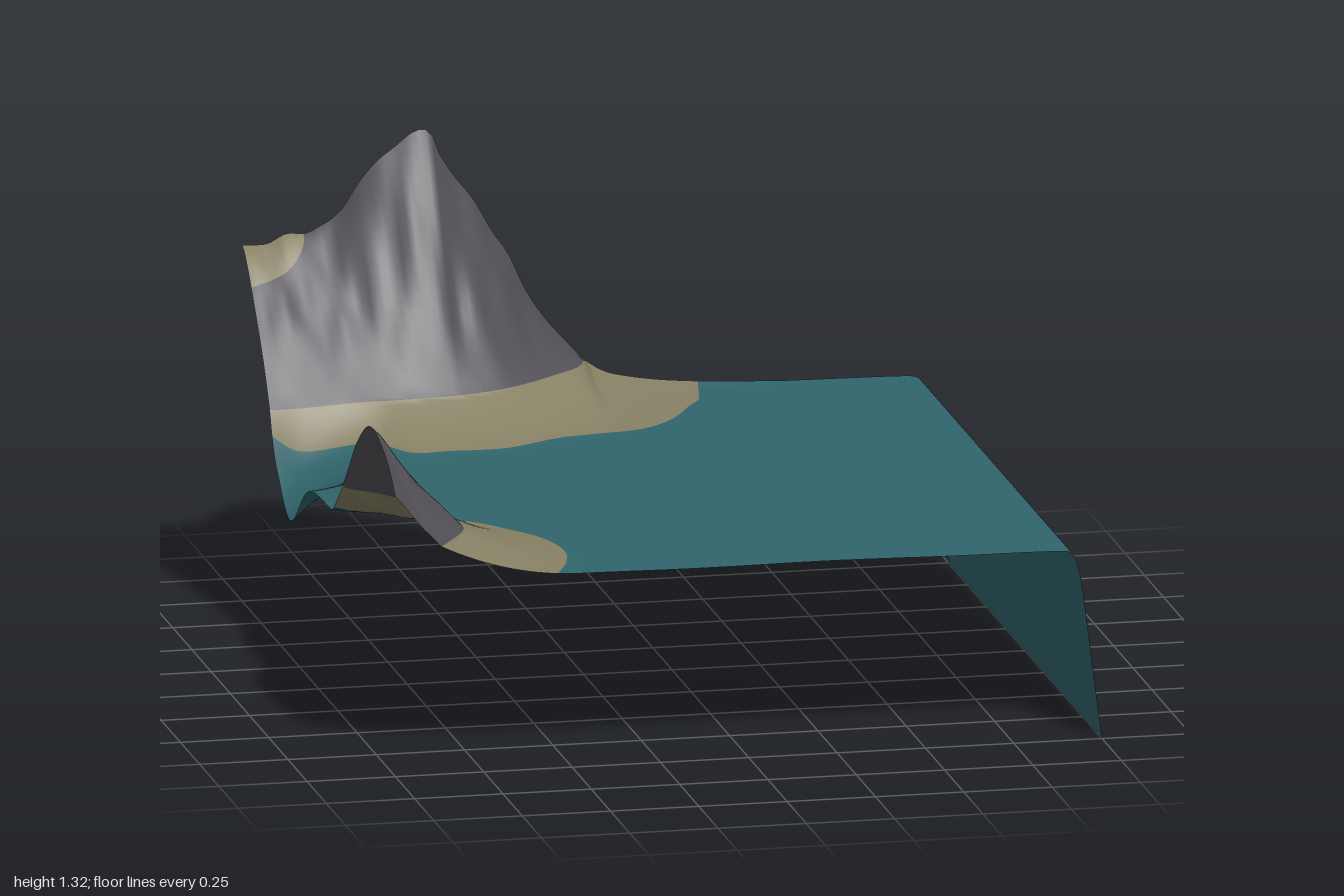
import * as THREE from 'three';

const clamp = (v) => Math.min(1, Math.max(0, v));

// Smooth curve through [position, value] pairs
function curve(points) {
  const slope = (i) => {
    const a = points[Math.max(0, i - 1)], b = points[Math.min(points.length - 1, i + 1)];
    return (b[1] - a[1]) / (b[0] - a[0]);
  };
  return (p) => {
    let i = 0;
    while (i < points.length - 2 && p > points[i + 1][0]) i++;
    const [p0, v0] = points[i], [p1, v1] = points[i + 1];
    const d = p1 - p0, t = clamp((p - p0) / d), t2 = t * t, t3 = t2 * t;
    return v0 * (2 * t3 - 3 * t2 + 1) + v1 * (3 * t2 - 2 * t3)
      + d * (slope(i) * (t3 - 2 * t2 + t) + slope(i + 1) * (t3 - t2));
  };
}

// Sea level, rolling over into the drop on one side
const sea = curve([[-1, 0.552], [-0.7, 0.553], [0, 0.549], [0.6, 0.545], [0.88, 0.541], [0.91, 0.536],
  [0.925, 0.52], [0.94, 0.46], [0.96, 0.315], [0.98, 0.155], [1, 0]]);

// Back mountain: crest height, rock edge and sand edge (z) along x
const backCrest = curve([[-1, 1.02], [-0.9, 1.025], [-0.8, 1.055], [-0.72, 1.1], [-0.66, 1.19], [-0.6, 1.25],
  [-0.55, 1.3], [-0.51, 1.312], [-0.465, 1.3], [-0.44, 1.24], [-0.37, 1.15], [-0.3, 1.03], [-0.25, 0.95],
  [-0.2, 0.85], [-0.1, 0.71], [0, 0.615], [0.1, 0.583], [0.28, 0.56], [0.5, 0.548], [1, 0.54]]);
const backRock = curve([[-1, -0.64], [-0.9, -0.62], [-0.77, -0.61], [-0.6, -0.62], [-0.45, -0.64],
  [-0.29, -0.7], [-0.13, -0.82], [-0.07, -0.88], [-0.03, -0.98], [0.05, -1.2]]);
const backSand = curve([[-1, -0.61], [-0.93, -0.55], [-0.77, -0.5], [-0.71, -0.47], [-0.65, -0.39], [-0.55, -0.395],
  [-0.38, -0.4], [-0.21, -0.48], [0.03, -0.54], [0.14, -0.64], [0.22, -0.78], [0.27, -0.87], [0.29, -1.02], [0.4, -1.3]]);

// Front hill: crest height, rock edge and sand edge (x) along z
const frontCrest = curve([[0.1, 0.545], [0.17, 0.555], [0.2, 0.57], [0.3, 0.65], [0.4, 0.74], [0.5, 0.84],
  [0.6, 0.9], [0.7, 0.917], [0.8, 0.9], [0.9, 0.86], [1, 0.8]]);
const frontRock = curve([[0.2, -1.2], [0.31, -1], [0.4, -0.9], [0.59, -0.8], [0.72, -0.77], [0.83, -0.77],
  [0.97, -0.85], [1, -0.87]]);
const frontSand = curve([[0.1, -1.2], [0.2, -1], [0.25, -0.9], [0.34, -0.8], [0.37, -0.68], [0.48, -0.58],
  [0.61, -0.5], [0.76, -0.47], [0.88, -0.49], [1, -0.54]]);

// Slope from a crest at -1 down through the rock edge to the sea
function slopeHeight(p, crest, rockEdge, sandEdge, level, bulge) {
  const start = Math.max(rockEdge, -1);
  const footTop = Math.min(crest, 0.65);
  if (p < start) {
    const u = (p + 1) / (start + 1);
    return footTop + (crest - footTop) * (1 - Math.pow(u, bulge)) * (1 - 0.1 * u);
  }
  const t = clamp((p - start) / Math.max(0.06, sandEdge + 0.06 - start));
  return level + Math.max(0, footTop - level) * (1 - t) ** 2;
}

function height(x, z) {
  const level = sea(x);
  const bulge = 1 + 0.4 * clamp((-0.7 - x) / 0.3);
  const back = x > 0.5 ? level : slopeHeight(z, backCrest(x), backRock(x), backSand(x), level, bulge);
  const front = z < 0.1 || x > 0 ? level : slopeHeight(x, frontCrest(z), frontRock(z), frontSand(z), level, 1);
  let y = Math.max(level, back, front);
  // Rough rock
  const rough = clamp((y - 0.65) / 0.2);
  y += rough * 0.006 * (Math.sin(31 * x + 9 * z) + Math.sin(47 * x - 23 * z + 1) * 0.7 + Math.sin(19 * z + 70 * x) * 0.4);
  // Hollow in the sea bed at the side edge
  const near = clamp(1 - (x + 1) / 0.27);
  y -= 0.165 * Math.pow(near, 1.6) * Math.exp(-(((z + 0.38) / 0.17) ** 2));
  // Faint swell
  if (x < 0.9) y += 0.002 * Math.sin(7 * x + 3 * z) * Math.sin(5 * z - 2 * x) * clamp((0.9 - x) * 5);
  return y;
}

function normal(x, z) {
  const e = 0.004;
  const x0 = Math.max(-1, x - e), x1 = Math.min(1, x + e);
  const z0 = Math.max(-1, z - e), z1 = Math.min(1, z + e);
  return new THREE.Vector3(-(height(x1, z) - height(x0, z)) / (x1 - x0), 1,
    -(height(x, z1) - height(x, z0)) / (z1 - z0)).normalize();
}

// Ground regions: positive inside
const ledge = (x, z) => 1 - ((x + 1) / 0.17) ** 2 * 0.95 - Math.max(0, (z + 1) / 0.12) ** 2;
const rock = (x, z) => Math.max(backRock(x) - z, z > 0.1 ? frontRock(z) - x : -1);
const sand = (x, z) => Math.max(backSand(x) - z, z > 0.1 ? frontSand(z) - x : -1);

// Cut a polygon along the zero line of a region
function split(poly, region) {
  const inside = [], outside = [];
  const f = poly.map(([x, z]) => region(x, z));
  poly.forEach((a, i) => {
    const j = (i + 1) % poly.length, b = poly[j];
    (f[i] > 0 ? inside : outside).push(a);
    if ((f[i] > 0) !== (f[j] > 0)) {
      const t = f[i] / (f[i] - f[j]);
      const cut = [a[0] + (b[0] - a[0]) * t, a[1] + (b[1] - a[1]) * t];
      inside.push(cut);
      outside.push(cut);
    }
  });
  return [inside, outside];
}

function surface(name, polys, material) {
  const positions = [], normals = [];
  for (const poly of polys) {
    for (let i = 1; i < poly.length - 1; i++) {
      for (const [x, z] of [poly[0], poly[i], poly[i + 1]]) {
        positions.push(x, height(x, z), z);
        normals.push(...normal(x, z).toArray());
      }
    }
  }
  const geometry = new THREE.BufferGeometry();
  geometry.setAttribute('position', new THREE.Float32BufferAttribute(positions, 3));
  geometry.setAttribute('normal', new THREE.Float32BufferAttribute(normals, 3));
  const mesh = new THREE.Mesh(geometry, material);
  mesh.name = name;
  return mesh;
}

export function createModel() {
  const paint = (name, color) => {
    const material = new THREE.MeshStandardMaterial({ color, side: THREE.DoubleSide });
    material.name = name;
    return material;
  };
  const teal = paint('teal', 0x30656c);
  const tan = paint('tan', 0x868064);
  const grey = paint('grey', 0x525056);

  // Grid columns, finer over the rolled edge
  const xs = [], zs = [];
  for (let i = 0; i < 95; i++) xs.push(-1 + i * 0.02);
  for (let i = 0; i <= 20; i++) xs.push(0.9 + i * 0.005);
  for (let i = 0; i <= 100; i++) zs.push(-1 + i * 0.02);

  // Sort each cell into its ground type
  const parts = { ledge: [], rock: [], sand: [], sea: [] };
  for (let i = 0; i < xs.length - 1; i++) {
    for (let j = 0; j < zs.length - 1; j++) {
      const [a, b, c, d] = [xs[i], xs[i + 1], zs[j], zs[j + 1]];
      for (const tri of [[[a, c], [a, d], [b, d]], [[a, c], [b, d], [b, c]]]) {
        let rest = tri;
        for (const [key, region] of [['ledge', ledge], ['rock', rock], ['sand', sand]]) {
          const [inside, outside] = split(rest, region);
          if (inside.length > 2) parts[key].push(inside);
          rest = outside;
        }
        if (rest.length > 2) parts.sea.push(rest);
      }
    }
  }

  const model = new THREE.Group();
  model.name = 'coastalTerrain';
  model.add(
    surface('seaSurface', parts.sea, teal),
    surface('sandyShore', parts.sand, tan),
    surface('mountainRock', parts.rock, grey),
    surface('mountainLedge', parts.ledge, tan),
  );
  return model;
}
